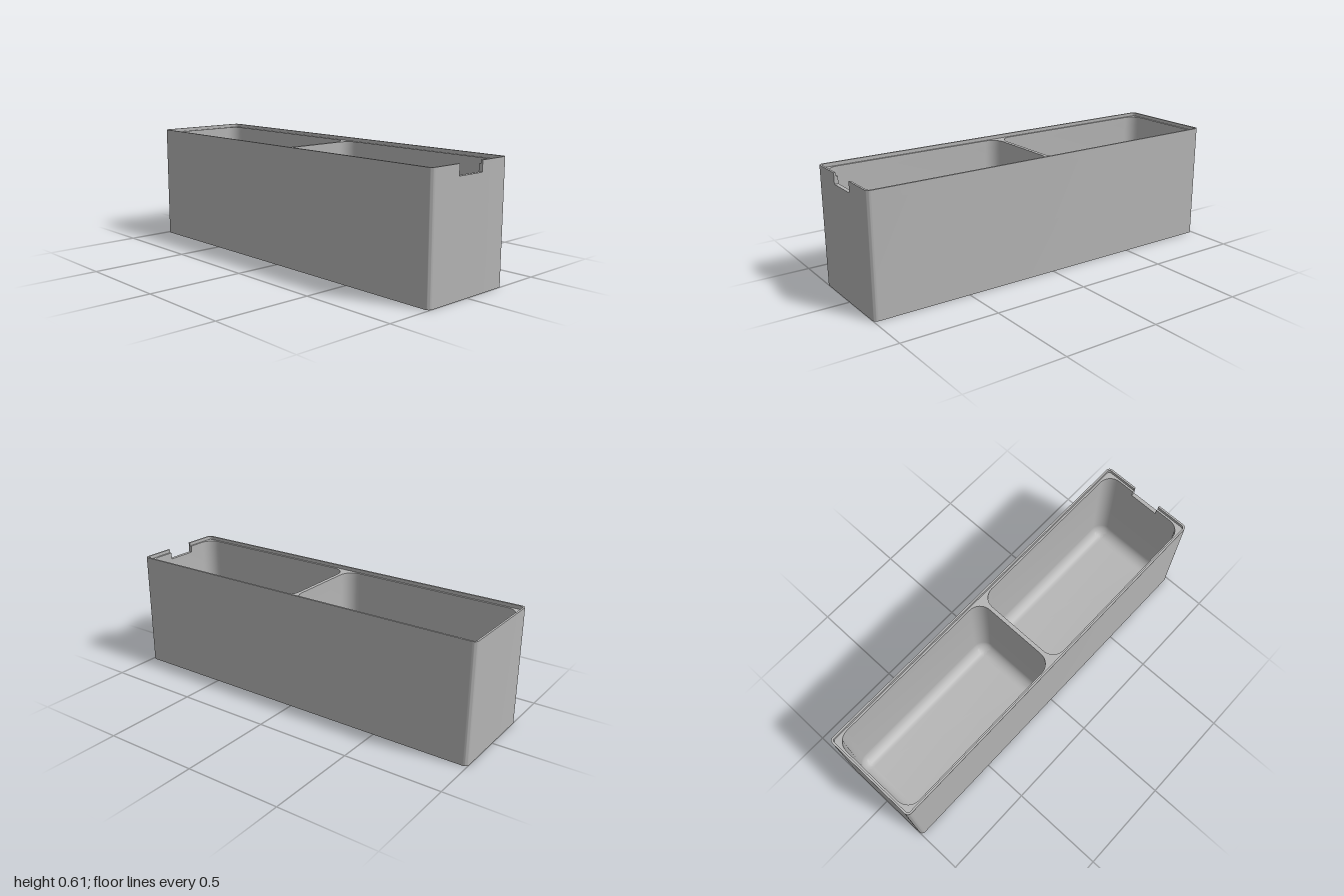
import * as THREE from 'three';
import { mergeGeometries, toCreasedNormals } from 'three/addons/utils/BufferGeometryUtils.js';

const TOP = 0.61, LEDGE = 0.592, NOTCH_Y = 0.556, NOTCH_X = 0.08, FLOOR = 0.02;
const CORNER = 0.07, FILLET = 0.065;

// Rounded rectangle as [x, z] points; starts and ends at the sides of the front notch
function loop(hx, z0, z1, r, n = 8) {
  const pts = [[NOTCH_X, z1]];
  const corners = [[hx - r, z1 - r], [hx - r, z0 + r], [-hx + r, z0 + r], [-hx + r, z1 - r]];
  corners.forEach(([cx, cz], k) => {
    for (let i = 0; i <= n; i++) {
      const a = Math.PI / 2 * (1 - k - i / n);
      pts.push([cx + r * Math.cos(a), cz + r * Math.sin(a)]);
    }
  });
  pts.push([-NOTCH_X, z1]);
  return pts;
}

function fromTriangles(pos) {
  const g = new THREE.BufferGeometry();
  g.setAttribute('position', new THREE.Float32BufferAttribute(pos, 3));
  return g;
}

// Wall through stacked loops; the last column is left open above the notch
function wall(rows, inward, notched) {
  const pos = [];
  for (let j = 0; j + 1 < rows.length; j++) {
    const lo = rows[j], hi = rows[j + 1], n = lo.pts.length;
    for (let i = 0; i < n; i++) {
      if (notched && i === n - 1 && lo.y > NOTCH_Y - 0.001) continue;
      const k = (i + 1) % n;
      const at = (row, m) => [row.pts[m][0], row.y, row.pts[m][1]];
      let a = at(lo, i), b = at(lo, k), c = at(hi, k), d = at(hi, i);
      if (inward) [a, b, c, d] = [b, a, d, c];
      pos.push(...a, ...b, ...c, ...a, ...c, ...d);
    }
  }
  return fromTriangles(pos);
}

// Flat horizontal face, facing up or down
function plate(y, outline, holes = [], up = true) {
  const s = up ? -1 : 1;
  const to2 = (pts) => pts.map(([x, z]) => new THREE.Vector2(x, s * z));
  const shape = new THREE.Shape(to2(outline));
  holes.forEach((h) => shape.holes.push(new THREE.Path(to2(h))));
  const g = new THREE.ShapeGeometry(shape).rotateX(s * Math.PI / 2).translate(0, y, 0).toNonIndexed();
  g.deleteAttribute('normal');
  g.deleteAttribute('uv');
  return g;
}

// Compartment with a rounded floor edge
function pocket(z0, z1, notched) {
  const rows = [];
  for (let t = 0; t <= 8; t++) {
    const a = t / 8 * Math.PI / 2, inset = FILLET * (1 - Math.sin(a));
    rows.push({
      y: FLOOR + FILLET * (1 - Math.cos(a)),
      pts: loop(0.24 - inset, z0 + inset, z1 - inset, CORNER - inset),
    });
  }
  const pts = loop(0.24, z0, z1, CORNER);
  rows.push({ y: NOTCH_Y, pts }, { y: LEDGE, pts });
  return mergeGeometries([wall(rows, true, notched), plate(FLOOR, rows[0].pts)]);
}

// Cheek of the notch, stepped where the lip sits on the ledge
function cheek(side) {
  const x = side * NOTCH_X, pos = [];
  const quad = (z0, z1, y0, y1) => {
    let p = [[x, y0, z0], [x, y1, z0], [x, y1, z1], [x, y0, z1]];
    if (side < 0) p = p.reverse();
    const [a, b, c, d] = p;
    // faces the opening, towards x = 0
    pos.push(...a, ...c, ...b, ...a, ...d, ...c);
  };
  quad(0.98, 0.99, NOTCH_Y, LEDGE);
  quad(0.99, 1, NOTCH_Y, LEDGE);
  quad(0.99, 1, LEDGE, TOP);
  // quads wind towards the opening on both sides after the reversal
  const flat = fromTriangles(pos);
  flat.computeVertexNormals();
  if (flat.attributes.normal.getX(0) * side > 0) {
    for (let i = 0; i < pos.length; i += 9) {
      for (let k = 0; k < 3; k++) [pos[i + k], pos[i + 3 + k]] = [pos[i + 3 + k], pos[i + k]];
    }
  }
  return fromTriangles(pos);
}

export function createModel() {
  const grey = new THREE.MeshStandardMaterial({ color: 0xb4b4b4 });
  grey.name = 'grey plastic';
  const group = new THREE.Group();
  group.name = 'dividedBox';
  const add = (name, ...parts) => {
    const mesh = new THREE.Mesh(toCreasedNormals(mergeGeometries(parts), 0.6), grey);
    mesh.name = name;
    group.add(mesh);
  };

  const outer = loop(0.26, -1, 1, 0.022);
  const lipIn = loop(0.25, -0.99, 0.99, 0.014);
  const front = loop(0.24, 0.01, 0.98, CORNER);
  const back = loop(0.24, -0.98, -0.01, CORNER);
  const rows = (pts, ...ys) => ys.map((y) => ({ y, pts }));

  // Outside walls and underside
  add('outerShell', wall(rows(outer, 0, NOTCH_Y, LEDGE, TOP), false, true), plate(0, outer, [], false));

  // Raised lip around the rim
  add('rimLip', wall(rows(lipIn, LEDGE, TOP), true, true), plate(TOP, [...outer, ...[...lipIn].reverse()]));

  // Ledge inside the lip, with the top of the divider
  add('ledgeAndDivider', plate(LEDGE, [...lipIn, ...[...front].reverse()], [back]));

  // Two compartments
  add('frontCompartment', pocket(0.01, 0.98, true));
  add('backCompartment', pocket(-0.98, -0.01, false));

  // Finger notch in the front wall
  const n = NOTCH_X;
  add('fingerNotch', plate(NOTCH_Y, [[-n, 0.98], [-n, 1], [n, 1], [n, 0.98]]), cheek(1), cheek(-1));

  return group;
}
